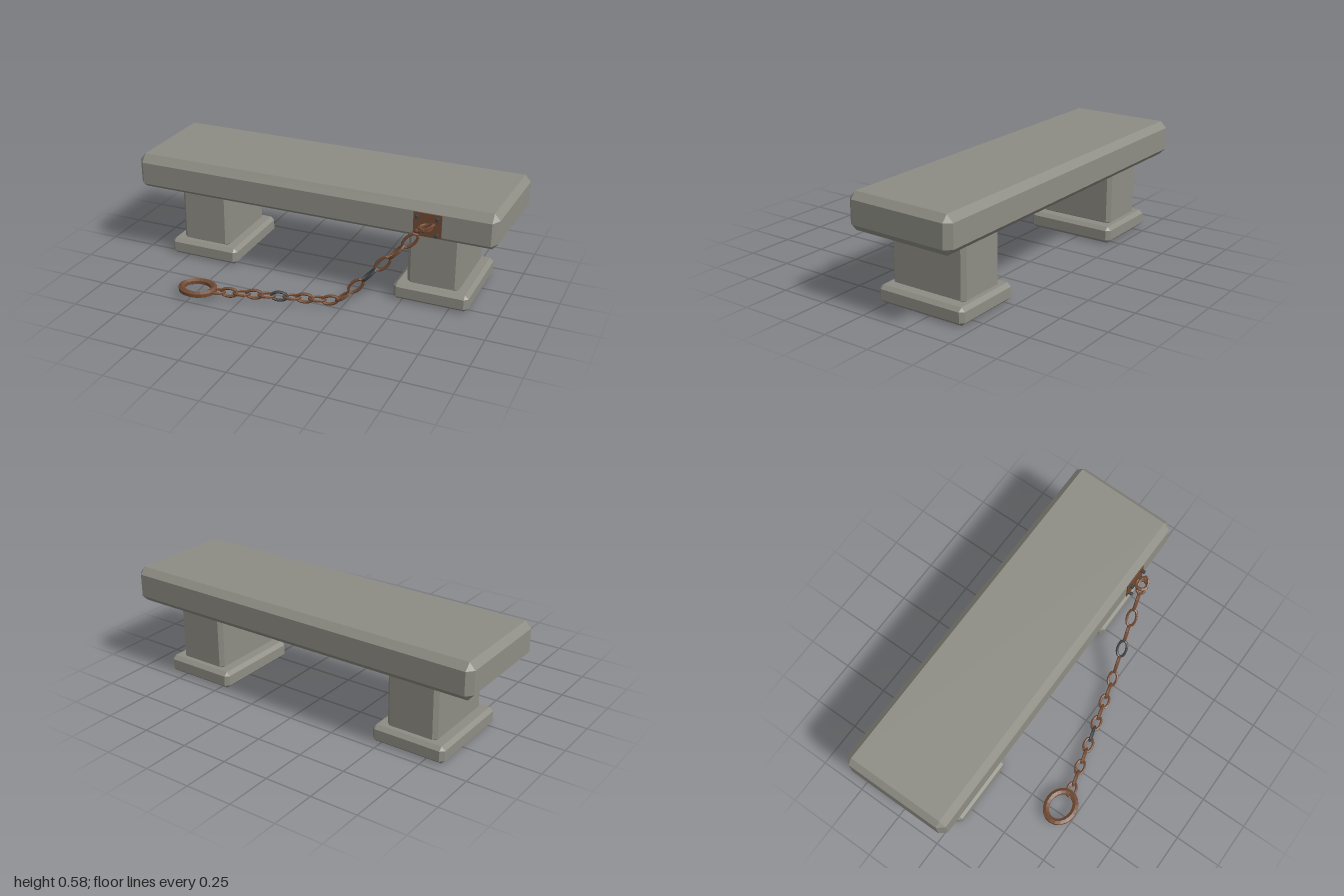
import * as THREE from 'three';
import { ConvexGeometry } from 'three/addons/geometries/ConvexGeometry.js';

const mat = (name, color) => Object.assign(new THREE.MeshStandardMaterial({ color, flatShading: true }), { name });

// Box with every edge cut at an angle; adjust may nudge each corner point
function chamferBox(min, max, cut, adjust = () => {}) {
  const points = [];
  for (let c = 0; c < 8; c++) {
    for (let face = 0; face < 3; face++) {
      const p = [0, 1, 2].map((a) => {
        const high = (c >> a) & 1;
        const inset = a === face ? 0 : cut[a];
        return high ? max[a] - inset : min[a] + inset;
      });
      const v = new THREE.Vector3(...p);
      adjust(v);
      points.push(v);
    }
  }
  return new ConvexGeometry(points);
}

// Closed oval of round wire lying in the XY plane, given its outer half sizes
function ovalRing(halfLength, halfWidth, wire, segments, sides) {
  const points = [];
  for (let i = 0; i < segments; i++) {
    const a = (i / segments) * Math.PI * 2;
    points.push(new THREE.Vector3(Math.cos(a) * (halfLength - wire), Math.sin(a) * (halfWidth - wire), 0));
  }
  return new THREE.TubeGeometry(new THREE.CatmullRomCurve3(points, true), segments, wire, sides, true);
}

export function createModel() {
  const model = new THREE.Group();
  model.name = 'benchWithChain';
  const stone = mat('stone', 0x8e8d84);
  const rust = mat('rust', 0x714a33);
  const iron = mat('darkIron', 0x3f4345);

  const add = (name, geometry, material, parent = model) => {
    const mesh = new THREE.Mesh(geometry, material);
    mesh.name = name;
    parent.add(mesh);
    return mesh;
  };

  // Seat slab, slightly worn at its front left end
  add('seatSlab', chamferBox([-1, 0.39, -0.505], [1, 0.578, 0.093], [0.03, 0.034, 0.034], (v) => {
    if (v.x > 0 && v.z > 0) v.x -= 0.015;
    if (v.z > 0.09) v.y -= 0.008;
  }), stone);

  // Two pedestals, each a pillar on a foot
  for (const [side, x] of [['right', -0.65], ['left', 0.648]]) {
    add(side + 'Pillar', chamferBox([x - 0.138, 0.085, -0.42], [x + 0.138, 0.4, 0.007], [0.02, 0.012, 0.02]), stone);
    add(side + 'Foot', chamferBox([x - 0.199, 0, -0.455], [x + 0.199, 0.09, 0.043], [0.02, 0.018, 0.02]), stone);
  }

  // Wall plate with four bolts and an eye
  const anchor = new THREE.Group();
  anchor.name = 'chainAnchor';
  anchor.position.set(0.637, 0.473, 0.09);
  model.add(anchor);
  add('plate', new THREE.BoxGeometry(0.145, 0.122, 0.016), rust, anchor);
  for (const sx of [-1, 1]) {
    for (const sy of [-1, 1]) {
      const bolt = add('bolt', new THREE.CylinderGeometry(0.009, 0.009, 0.024, 6), iron, anchor);
      bolt.rotation.x = Math.PI / 2;
      bolt.position.set(sx * 0.052, sy * 0.043, 0.018);
    }
  }
  const eye = add('eye', ovalRing(0.038, 0.04, 0.01, 12, 6), rust, anchor);
  eye.rotation.x = Math.PI / 2;
  eye.position.set(0.003, 0.003, 0.046);

  // Link centres: the chain hangs from the eye, then runs along the ground
  const centres = [new THREE.Vector3(0.638, 0.477, 0.143)];
  for (let i = 0; i < 16; i++) {
    const x = 0.573 - i * 0.0627;
    centres.push(new THREE.Vector3(x, Math.max(0.043, 0.405 - i * 0.0675), 0.156 + i * 0.0169));
  }

  // Links alternate between lying flat and standing upright
  const chain = new THREE.Group();
  chain.name = 'chain';
  model.add(chain);
  const hangingLink = ovalRing(0.057, 0.032, 0.0078, 12, 6);
  const groundLink = ovalRing(0.049, 0.031, 0.0078, 12, 6);
  const up = new THREE.Vector3(0, 1, 0);
  centres.forEach((centre, i) => {
    const along = centres[Math.min(i + 1, 16)].clone().sub(centres[Math.max(i - 1, 0)]).normalize();
    if (i === 0) along.set(-0.87, -0.45, 0.15).normalize();
    const across = along.clone().cross(up).normalize();
    const rise = across.clone().cross(along);
    const width = i % 2 ? rise : across;
    const basis = new THREE.Matrix4().makeBasis(along, width, along.clone().cross(width));
    const link = add('chainLink', i < 6 ? hangingLink : groundLink, i % 7 === 4 ? iron : rust, chain);
    link.quaternion.setFromRotationMatrix(basis);
    link.position.copy(centre);
  });

  // Large ring at the loose end
  const ring = add('endRing', ovalRing(0.105, 0.09, 0.018, 20, 6), rust);
  ring.rotation.x = Math.PI / 2;
  ring.position.set(-0.475, 0.043, 0.415);

  return model;
}
